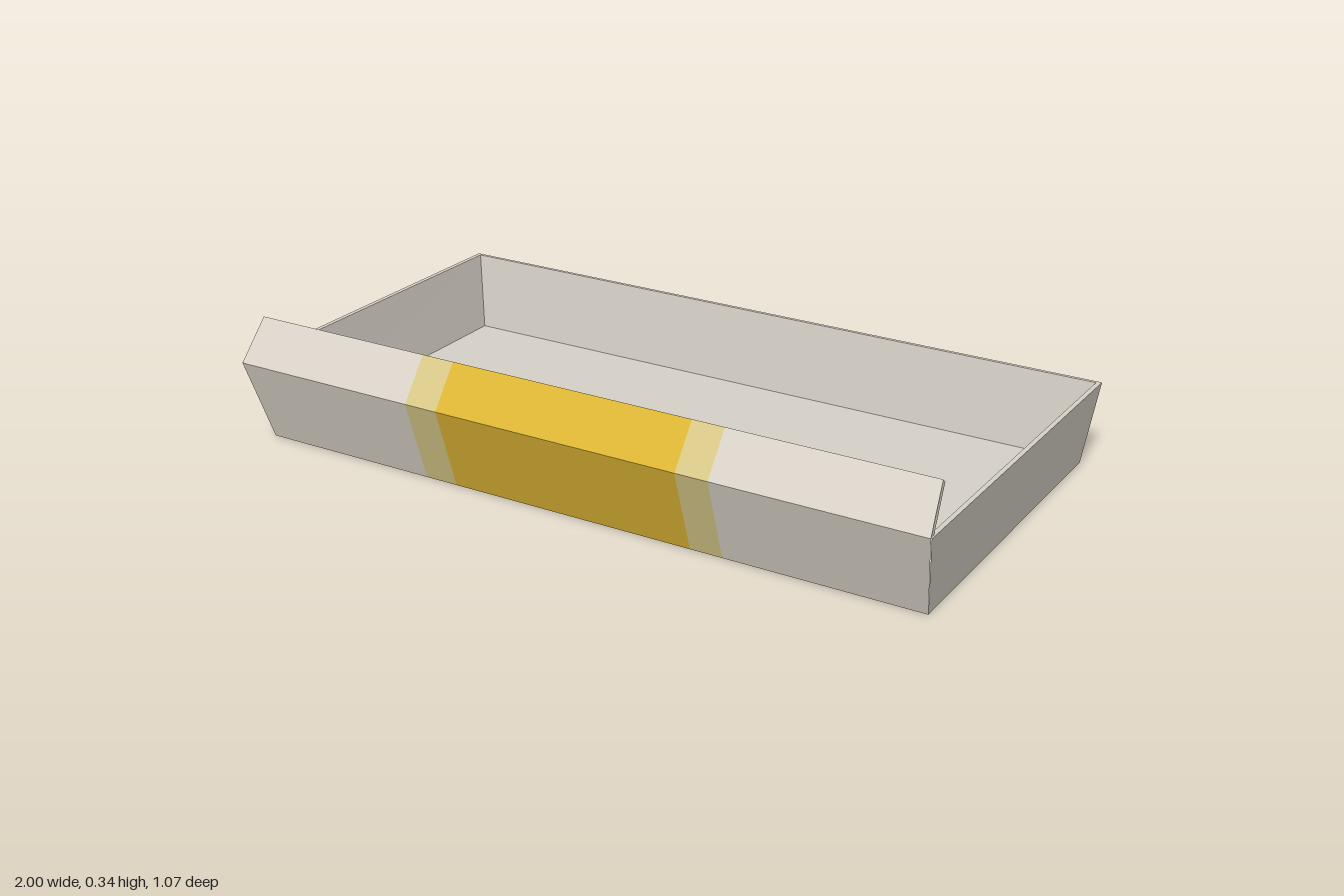
import * as THREE from 'three';

const mat = (name, color) => {
  const m = new THREE.MeshStandardMaterial({ color });
  m.name = name;
  return m;
};

// flat-shaded mesh from quads, corners counter-clockwise seen from outside
function quadMesh(name, quads, material) {
  const pos = [];
  for (const [a, b, c, d] of quads) pos.push(...a, ...b, ...c, ...a, ...c, ...d);
  const g = new THREE.BufferGeometry();
  g.setAttribute('position', new THREE.Float32BufferAttribute(pos, 3));
  g.computeVertexNormals();
  const mesh = new THREE.Mesh(g, material);
  mesh.name = name;
  return mesh;
}

// four corners, counter-clockwise from above, starting front at -x
const corners = (x, zFront, yFront, zBack, yBack) => [
  [-x, yFront, zFront], [x, yFront, zFront], [x, yBack, zBack], [-x, yBack, zBack],
];

// quads joining two corner loops (sides: 0 front, 1 +x, 2 back, 3 -x)
const ring = (lo, hi, sides = [0, 1, 2, 3]) =>
  sides.map((i) => [lo[i], lo[(i + 1) % 4], hi[(i + 1) % 4], hi[i]]);

export function createModel() {
  const card = mat('warm grey card', 0xd8d2c8);
  const yellow = mat('yellow band', 0xdcb634);
  const pale = mat('pale yellow edge', 0xd8c988);
  const group = new THREE.Group();
  group.name = 'openTray';

  // tray shell
  const outerBottom = corners(0.97, 0.46, 0, -0.5, 0.002);
  const outerTop = corners(1, 0.535, 0.233, -0.535, 0.225);
  const innerTop = corners(0.987, 0.522, 0.233, -0.525, 0.225);
  const innerBottom = corners(0.959, 0.45, 0.008, -0.496, 0.008);
  group.add(
    quadMesh('sideWalls', ring(outerBottom, outerTop, [1, 3]), card),
    quadMesh('rim', ring(outerTop, innerTop), card),
    quadMesh('innerWalls', ring(innerTop, innerBottom), card),
    quadMesh('floor', [innerBottom], card),
  );

  // folded front flap: inner face, ends and tip
  const flapBase = corners(0.996, 0.535, 0.233, 0.515, 0.231);
  const flapTip = corners(0.985, 0.453, 0.341, 0.441, 0.331);
  group.add(quadMesh('frontFlap', [...ring(flapBase, flapTip, [1, 2, 3]), flapTip], card));

  // outer wrap: flap, front wall, underside and back wall, split into colour columns
  const profile = [ // half width, y, z
    [0.985, 0.341, 0.453], [0.998, 0.233, 0.535], [0.97, 0, 0.46],
    [0.97, 0.002, -0.5], [1, 0.225, -0.535],
  ];
  const stops = [-1, -0.455, -0.36, 0.34, 0.43, 1];
  const columns = [
    ['wrapRight', card], ['paleEdgeRight', pale], ['yellowBand', yellow],
    ['paleEdgeLeft', pale], ['wrapLeft', card],
  ];
  const at = ([w, y, z], s) => [Math.abs(s) === 1 ? s * w : s, y, z];
  columns.forEach(([name, material], c) => {
    const quads = [];
    for (let i = 0; i < profile.length - 1; i++) {
      const p = profile[i], q = profile[i + 1];
      quads.push([at(q, stops[c]), at(q, stops[c + 1]), at(p, stops[c + 1]), at(p, stops[c])]);
    }
    group.add(quadMesh(name, quads, material));
  });

  return group;
}
